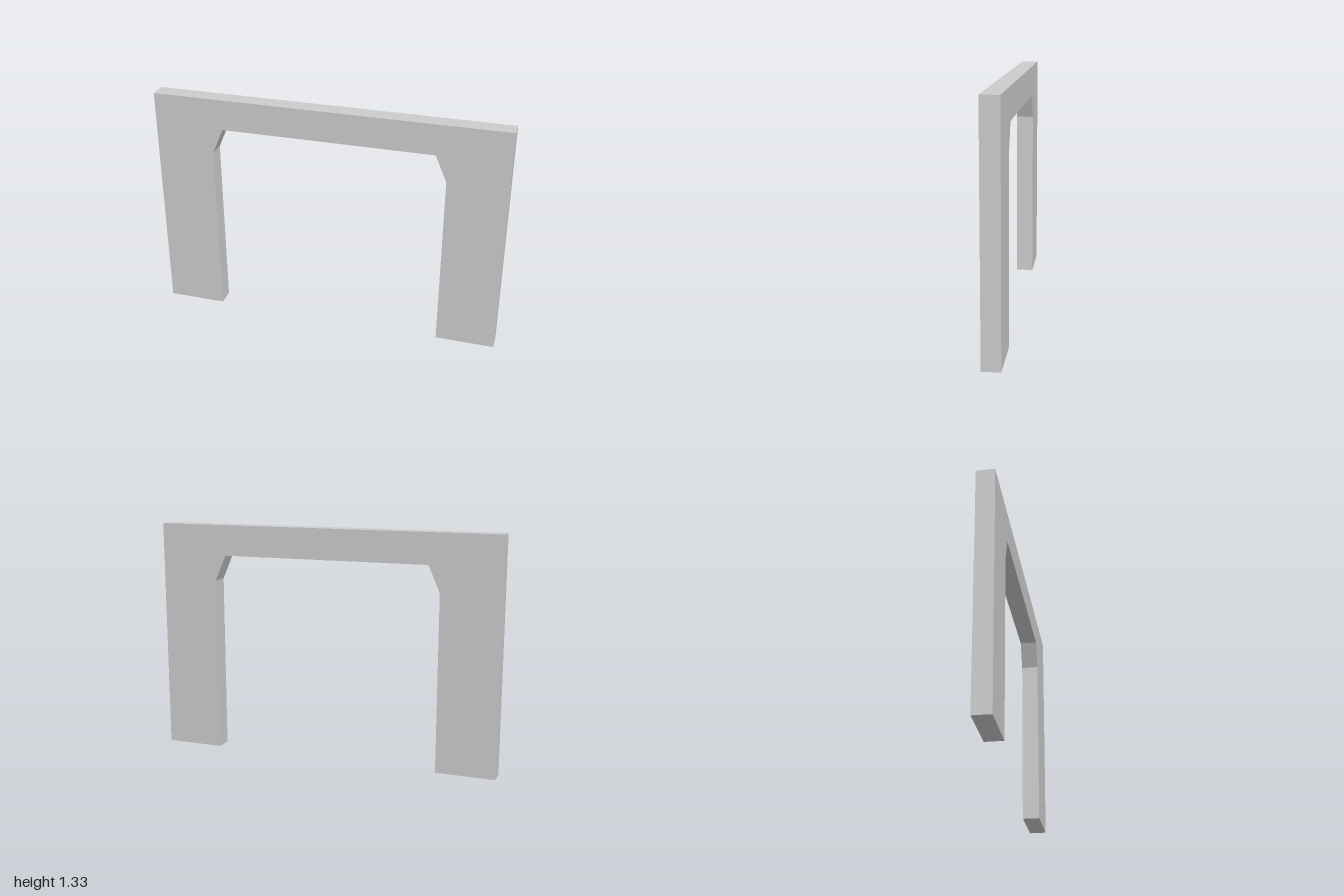
import * as THREE from 'three';

const HEIGHT = 1.333, DEPTH = 0.1;

export function createModel() {
  const group = new THREE.Group();
  group.name = 'archway';

  // right half of the outline, from the inner foot round to the lintel's underside
  const half = [[0.665, 0], [0.665, 1.01], [0.6, 1.158]];
  const mirrored = half.map(([x, y]) => [-x, y]).reverse();
  const outline = [[-1, 0], [-1, HEIGHT], [1, HEIGHT], [1, 0], ...half, ...mirrored];
  const shape = new THREE.Shape(outline.map(([x, y]) => new THREE.Vector2(x, y)));

  // flat wall panel with a chamfered doorway
  const geometry = new THREE.ExtrudeGeometry(shape, { depth: DEPTH, bevelEnabled: false });
  geometry.translate(0, 0, -DEPTH / 2);
  const wall = new THREE.Mesh(
    geometry,
    new THREE.MeshStandardMaterial({ color: 0xcccccc, flatShading: true })
  );
  wall.name = 'doorwayWall';
  group.add(wall);
  return group;
}
